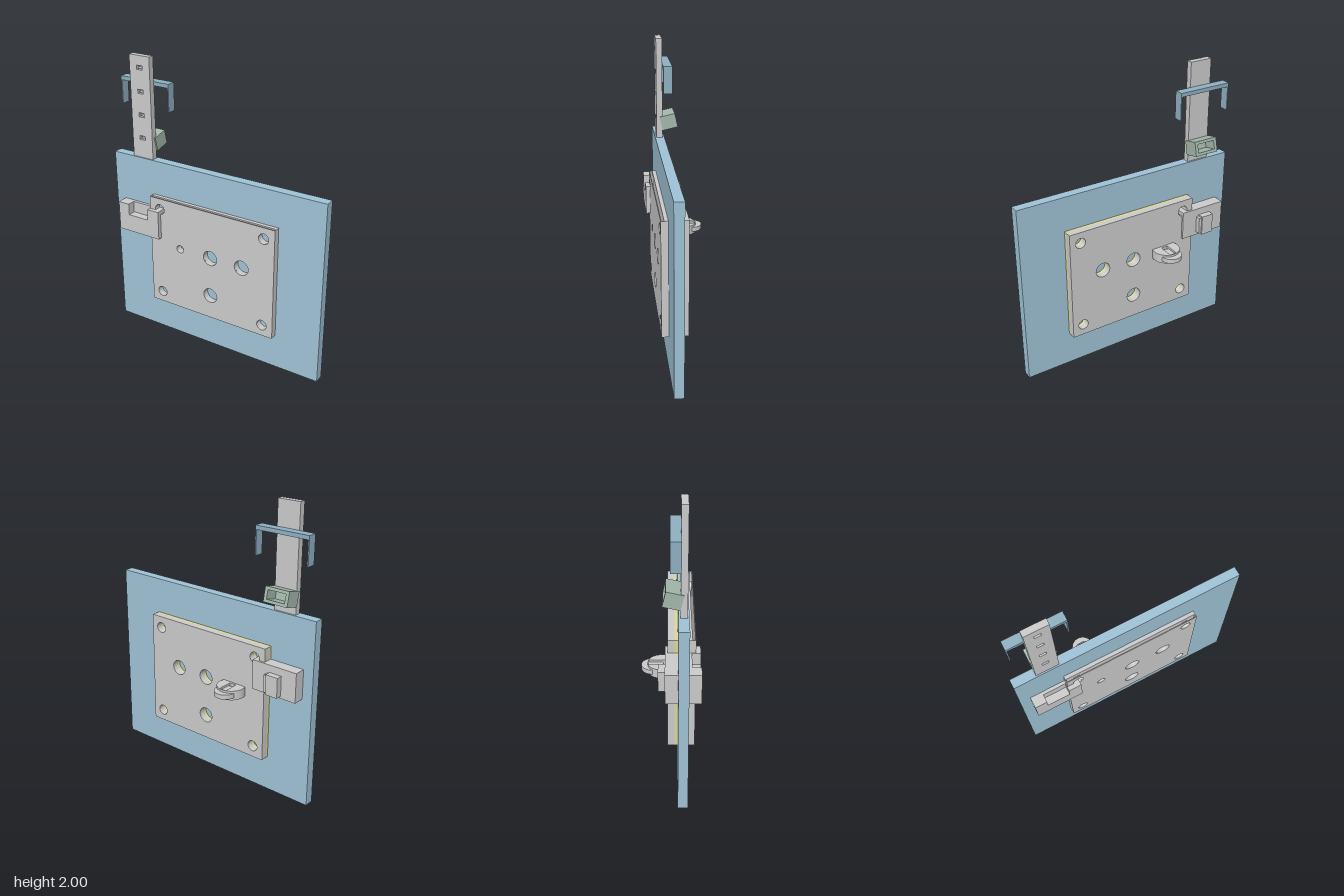
import * as THREE from 'three';

const mat = (color) => new THREE.MeshStandardMaterial({ color, side: THREE.DoubleSide });
const grey = mat(0xcccccc), blue = mat(0x9fc3d6), steel = mat(0x8fb0c2), green = mat(0xa3b8ac), yellow = mat(0xe0d890);

// Bolt pattern shared by the front and back plates: x, y, radius
const HOLES = [
  [-0.405, 0.975, 0.037], [0.405, 0.975, 0.037], [-0.405, 0.33, 0.037], [0.405, 0.33, 0.037],
  [-0.243, 0.715, 0.028], [0, 0.715, 0.053], [0.243, 0.715, 0.053], [0, 0.425, 0.053],
];

export function createModel() {
  const model = new THREE.Group();

  const add = (name, geometry, material, parent = model) => {
    const mesh = new THREE.Mesh(geometry, material);
    mesh.name = name;
    parent.add(mesh);
    return mesh;
  };

  // Box given by its limits on each axis
  const box = (name, [x0, x1], [y0, y1], [z0, z1], material = grey, parent = model) => {
    const mesh = add(name, new THREE.BoxGeometry(x1 - x0, y1 - y0, z1 - z0), material, parent);
    mesh.position.set((x0 + x1) / 2, (y0 + y1) / 2, (z0 + z1) / 2);
    return mesh;
  };

  const rect = (x0, x1, y0, y1, Type = THREE.Shape) => new Type([
    new THREE.Vector2(x0, y0), new THREE.Vector2(x1, y0),
    new THREE.Vector2(x1, y1), new THREE.Vector2(x0, y1),
  ]);

  // Flat sheet between z0 and z1
  const slab = (name, shape, z0, z1, material = grey, parent = model) => {
    const mesh = add(name, new THREE.ExtrudeGeometry(shape,
      { depth: z1 - z0, bevelEnabled: false, curveSegments: 20 }), material, parent);
    mesh.position.z = z0;
    return mesh;
  };

  const drilledPlate = (name, z0, z1, material = grey) => {
    const shape = rect(-0.485, 0.485, 0.25, 1.055);
    for (const [x, y, r] of HOLES) shape.holes.push(new THREE.Path().absarc(x, y, r, 0, Math.PI * 2, true));
    return slab(name, shape, z0, z1, material);
  };

  // Main board
  box('board', [-0.807, 0.807], [0, 1.3], [0.045, 0.11], blue);

  // Front cover: base plate, thin face, side flanges and hole sleeves
  drilledPlate('frontPlate', 0.11, 0.136);
  drilledPlate('frontFace', 0.152, 0.158);
  for (const s of [-1, 1]) {
    const x = [s * 0.485, s * 0.479].sort((a, b) => a - b);
    box('frontFlange', x, [0.25, 1.055], [0.136, 0.152]);
  }
  for (const [x, y, r] of HOLES) {
    const sleeve = add('holeSleeve', new THREE.CylinderGeometry(r, r, 0.016, 32, 1, true), grey);
    sleeve.rotation.x = Math.PI / 2;
    sleeve.position.set(x, y, 0.144);
  }

  // Back plate over a gasket
  drilledPlate('gasket', 0.025, 0.045, yellow);
  drilledPlate('backPlate', -0.02, 0.025);

  // Front latch block, notched at its top
  const latch = new THREE.Group();
  latch.name = 'latch';
  model.add(latch);
  box('latchBase', [-0.735, -0.4], [0.76, 0.965], [0.11, 0.132], grey, latch);
  const notched = new THREE.Shape([
    [-0.735, 0.76], [-0.4, 0.76], [-0.4, 0.965], [-0.49, 0.965],
    [-0.49, 0.885], [-0.65, 0.885], [-0.65, 0.965], [-0.735, 0.965],
  ].map(([x, y]) => new THREE.Vector2(x, y)));
  slab('latchFront', notched, 0.132, 0.188, grey, latch);

  // Rear latch block with its push button
  box('latchBack', [-0.735, -0.4], [0.76, 0.965], [-0.035, 0.045], grey, latch);
  box('latchButton', [-0.625, -0.535], [0.775, 0.915], [-0.078, -0.035], grey, latch);
  box('latchButtonStep', [-0.535, -0.515], [0.785, 0.905], [-0.07, -0.035], grey, latch);

  // Knob: a round body cut flat against the plate, slotted, with a wheel behind it
  const knob = new THREE.Group();
  knob.name = 'knob';
  knob.position.set(-0.245, 0.68, 0);
  model.add(knob);
  const a = Math.asin(0.035 / 0.095);
  const body = new THREE.Shape().absarc(0, 0.055, 0.095, -a, Math.PI + a, false);
  body.closePath();
  body.holes.push(rect(-0.025, 0.025, 0.035, 0.142, THREE.Path));
  const bodyGeometry = new THREE.ExtrudeGeometry(body, { depth: 0.065, bevelEnabled: false, curveSegments: 32 });
  bodyGeometry.rotateX(-Math.PI / 2);
  add('knobBody', bodyGeometry, grey, knob);
  const wheel = add('knobWheel', new THREE.CylinderGeometry(0.073, 0.073, 0.032, 40), grey, knob);
  wheel.position.set(0, 0.034, -0.118);

  // Upright bar with shallow slots in its front
  const front = rect(-0.65, -0.49, 1.28, 2);
  for (const y of [1.44, 1.6, 1.76, 1.92]) {
    front.holes.push(rect(-0.592, -0.548, y - 0.014, y + 0.014, THREE.Path));
    box('slotTooth', [-0.583, -0.557], [y - 0.009, y + 0.005], [0.076, 0.09]);
  }
  slab('uprightFront', front, 0.076, 0.1);
  box('uprightBack', [-0.65, -0.49], [1.28, 2], [0.058, 0.076]);

  // Bracket behind the bar
  box('bracketTop', [-0.76, -0.375], [1.803, 1.83], [-0.003, 0.06], steel);
  box('bracketArm', [-0.76, -0.752], [1.64, 1.803], [-0.003, 0.06], steel);
  box('bracketArm', [-0.383, -0.375], [1.64, 1.803], [-0.003, 0.06], steel);

  // Tilted hollow catch, open towards the back
  const catchBox = new THREE.Group();
  catchBox.name = 'catch';
  catchBox.position.set(-0.568, 1.415, 0.014);
  catchBox.rotation.x = 0.23;
  model.add(catchBox);
  const frame = rect(-0.088, 0.088, -0.05, 0.05);
  frame.holes.push(rect(-0.066, 0.066, -0.03, 0.03, THREE.Path));
  slab('catchFrame', frame, -0.055, 0.04, green, catchBox);
  box('catchFloor', [-0.088, 0.088], [-0.05, 0.05], [0.04, 0.055], green, catchBox);

  return model;
}
